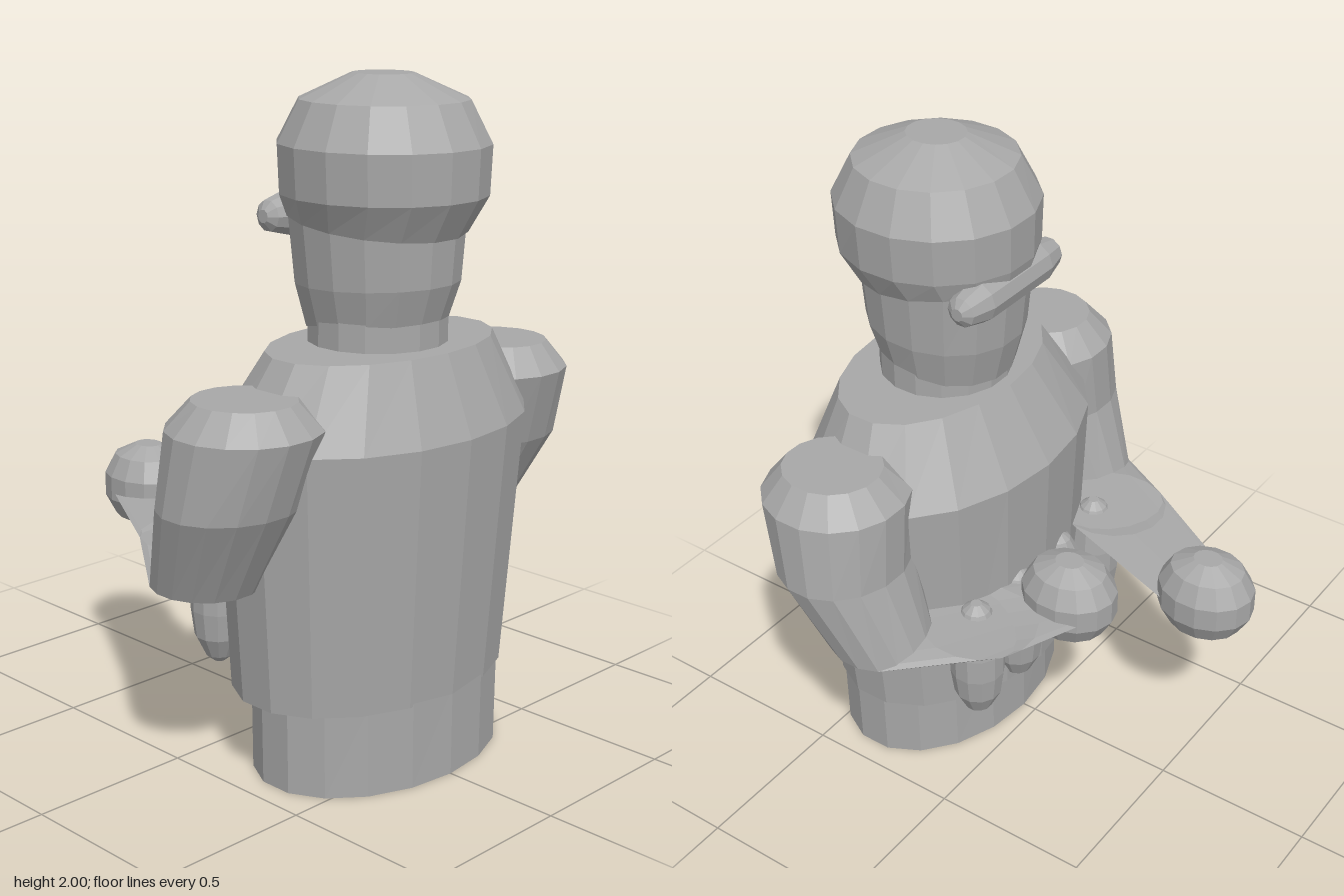
import * as THREE from 'three';

const grey = new THREE.MeshStandardMaterial({ color: 0xa8a8a8, flatShading: true, side: THREE.DoubleSide });
grey.name = 'grey';

// Joins elliptical rings [cx, y, cz, rx, rz, tilt] from bottom to top and caps both ends.
function loft(rings, sides) {
  const pos = [], idx = [];
  for (const [cx, y, cz, rx, rz, tilt = 0] of rings) {
    for (let i = 0; i < sides; i++) {
      const a = ((i + 0.5) / sides) * Math.PI * 2;
      pos.push(cx + Math.cos(a) * rx, y + Math.sin(a) * tilt, cz + Math.sin(a) * rz);
    }
  }
  const last = rings.length - 1;
  for (let j = 0; j < last; j++) {
    for (let i = 0; i < sides; i++) {
      const n = (i + 1) % sides;
      const a = j * sides + i, b = j * sides + n, c = a + sides, d = b + sides;
      idx.push(a, c, b, b, c, d);
    }
  }
  for (let i = 1; i < sides - 1; i++) {
    idx.push(0, i, i + 1);
    idx.push(last * sides, last * sides + i + 1, last * sides + i);
  }
  const g = new THREE.BufferGeometry();
  g.setAttribute('position', new THREE.Float32BufferAttribute(pos, 3));
  g.setIndex(idx);
  g.computeVertexNormals();
  return g;
}

// Rounded solid around the y axis from [y, radius] fractions.
const solid = (profile, rx, ry, rz, sides) =>
  loft(profile.map(([y, r]) => [0, y * ry, 0, r * rx, r * rz]), sides);

export function createModel() {
  const model = new THREE.Group();
  const add = (name, geometry, x = 0, y = 0, z = 0) => {
    const m = new THREE.Mesh(geometry, grey);
    m.name = name;
    m.position.set(x, y, z);
    model.add(m);
    return m;
  };

  // Trunk
  add('hips', loft([[0, 0, 0.34, 0.43, 0.295], [0, 0.27, 0.34, 0.435, 0.295]], 18));
  add('torso', loft([
    [0, 0.25, 0.305, 0.47, 0.33],
    [0, 1.02, 0.315, 0.53, 0.367],
    [0, 1.25, 0.34, 0.395, 0.25],
  ], 18));

  // Neck, face and cap, with the jaw and cap edges slightly tilted
  add('neck', loft([[0, 1.24, 0.325, 0.205, 0.2], [0, 1.34, 0.325, 0.205, 0.2]], 16));
  add('face', loft([
    [0, 1.305, 0.32, 0.2, 0.21, 0.022],
    [0, 1.42, 0.32, 0.23, 0.245, 0.01],
    [0, 1.62, 0.315, 0.248, 0.262],
  ], 16));
  add('cap', loft([
    [0, 1.59, 0.315, 0.25, 0.265, -0.03],
    [0, 1.67, 0.34, 0.29, 0.303],
    [0, 1.81, 0.34, 0.298, 0.307],
    [0, 1.93, 0.34, 0.24, 0.242],
    [0, 2.0, 0.335, 0.085, 0.09],
  ], 16));

  // Rounded brow bar across the face
  const ball = [[-1, 0.3], [-0.75, 0.76], [-0.28, 1], [0.28, 1], [0.75, 0.76], [1, 0.3]];
  const bar = [[-1, 0.3], [-0.92, 0.7], [-0.6, 1], [0.6, 1], [0.92, 0.7], [1, 0.3]];
  add('browBar', solid(bar, 0.065, 0.235, 0.065, 10), 0, 1.6, 0.1).rotation.z = Math.PI / 2;

  // Arms: full sleeves that flatten into thin forearms reaching to the hands
  for (const [side, name, hx, hz] of [[1, 'left', 0.105, -0.2], [-1, 'right', -0.14, -0.535]]) {
    add(name + 'Arm', loft([
      [hx, 0.64, hz, 0.115, 0.125],
      [side * 0.36, 0.655, -0.05, 0.17, 0.18],
      [side * 0.54, 0.61, 0.18, 0.155, 0.16],
      [side * 0.55, 0.87, 0.295, 0.215, 0.19],
      [side * 0.525, 1.09, 0.33, 0.22, 0.22],
      [side * 0.53, 1.17, 0.335, 0.145, 0.15],
    ], 16));
    add(name + 'Hand', solid(ball, 0.13, 0.133, 0.153, 14), hx, 0.657, hz);

    // Slim pouches hanging along the waist
    for (const x of [0.11, 0.32]) {
      add(name + 'Pouch', solid(
        [[-1, 0.2], [-0.9, 0.5], [-0.6, 0.87], [-0.2, 1], [0.2, 1], [0.6, 0.87], [0.9, 0.5], [1, 0.2]],
        0.085, 0.21, 0.085, 12), side * x, 0.47, -0.008);
    }
  }
  return model;
}
